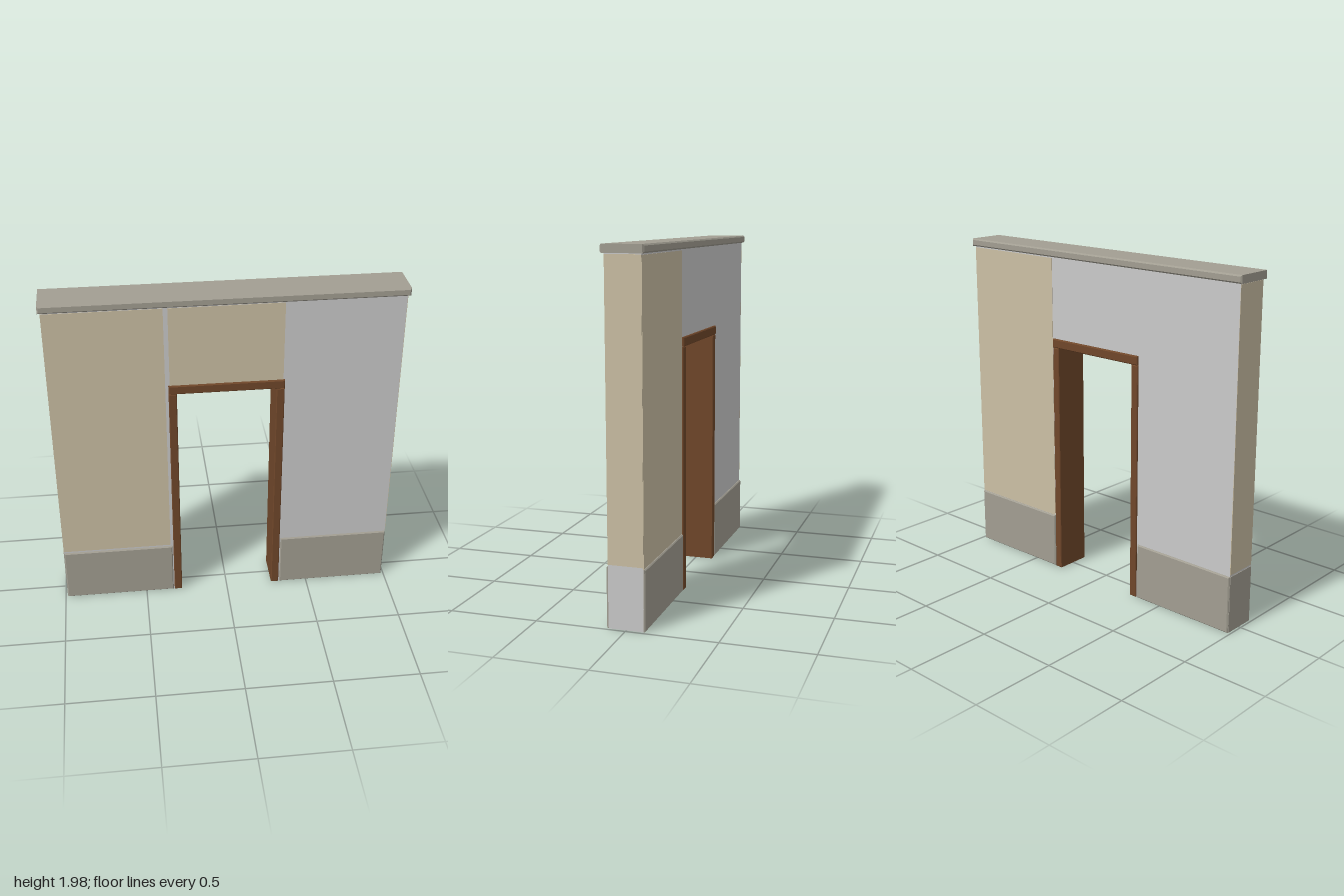
import * as THREE from 'three';

const mat = (name, color, extra = {}) => {
  const m = new THREE.MeshStandardMaterial({ color });
  m.name = name;
  return Object.assign(m, extra);
};

// Box with small chamfers on every edge, given by its limits
function chamferBox(x0, x1, y0, y1, z0, z1, c) {
  const a = x0 + c, b = x1 - c, d = y0 + c, e = y1 - c;
  const s = new THREE.Shape();
  s.moveTo(a, d); s.lineTo(b, d); s.lineTo(b, e); s.lineTo(a, e); s.closePath();
  const g = new THREE.ExtrudeGeometry(s, {
    depth: z1 - z0 - 2 * c, bevelEnabled: true, bevelThickness: c, bevelSize: c, bevelSegments: 1,
  });
  return g.translate(0, 0, z0 + c);
}

function box(x0, x1, y0, y1, z0, z1) {
  return new THREE.BoxGeometry(x1 - x0, y1 - y0, z1 - z0)
    .translate((x0 + x1) / 2, (y0 + y1) / 2, (z0 + z1) / 2);
}

export function createModel() {
  const group = new THREE.Group();
  group.name = 'doorwayWall';
  const plaster = mat('grey plaster', 0xcacaca);
  const sand = mat('sand panel', 0xcbbfa4);
  const stone = mat('stone trim', 0xa29e92);
  const wood = mat('brown wood', 0x70472a);

  const add = (name, geometry, material) => {
    const m = new THREE.Mesh(geometry, material);
    m.name = name;
    group.add(m);
  };

  const W = 0.985, D = 0.097, H = 1.935;   // wall half width, half depth, height
  const OX = 0.315, OY = 1.43;             // doorway half width and height

  // Wall core with the doorway cut out
  const s = new THREE.Shape();
  [[-W, 0], [-OX, 0], [-OX, OY], [OX, OY], [OX, 0], [W, 0], [W, H], [-W, H]]
    .forEach(([x, y], i) => (i ? s.lineTo(x, y) : s.moveTo(x, y)));
  s.closePath();
  add('wall', new THREE.ExtrudeGeometry(s, { depth: 2 * D, bevelEnabled: false }).translate(0, 0, -D), plaster);

  // Coping along the top
  add('coping', chamferBox(-1, 1, 1.93, 1.975, -0.115, 0.115, 0.008), stone);

  // Door frame
  for (const side of [-1, 1]) {
    const x = side * 0.303;
    add(side < 0 ? 'rightJamb' : 'leftJamb',
      chamferBox(x - 0.023, x + 0.023, 0.001, 1.398, -0.107, 0.107, 0.004), wood);
  }
  add('lintel', chamferBox(-0.326, 0.326, 1.4, 1.452, -0.111, 0.111, 0.005), wood);

  // Stone skirting on both sides of the doorway, front and back
  for (const face of [1, -1]) {
    for (const side of [-1, 1]) {
      const x0 = side < 0 ? -0.985 : 0.332;
      const z0 = face > 0 ? 0.09 : -0.107;
      add('skirting', chamferBox(x0, x0 + 0.653, 0.001, 0.335, z0, z0 + 0.017, 0.006), stone);
    }
  }
  add('endSkirting', box(-W - 0.003, -W + 0.003, 0.002, 0.335, -D, D), stone);

  // Thin painted panels on the faces and ends
  const T = 0.002;
  add('frontPanel', box(-0.985, -0.343, 0.345, 1.922, D - T, D + T), sand);
  add('overDoorPanel', box(-0.318, 0.318, 1.45, 1.922, D - T, D + T), sand);
  add('backPanel', box(0.333, 0.985, 0.337, 1.922, -D - T, -D + T), sand);
  for (const side of [-1, 1]) {
    add('endPanel', box(side * W - T, side * W + T, 0.345, 1.925, -D, D), sand);
  }
  return group;
}
